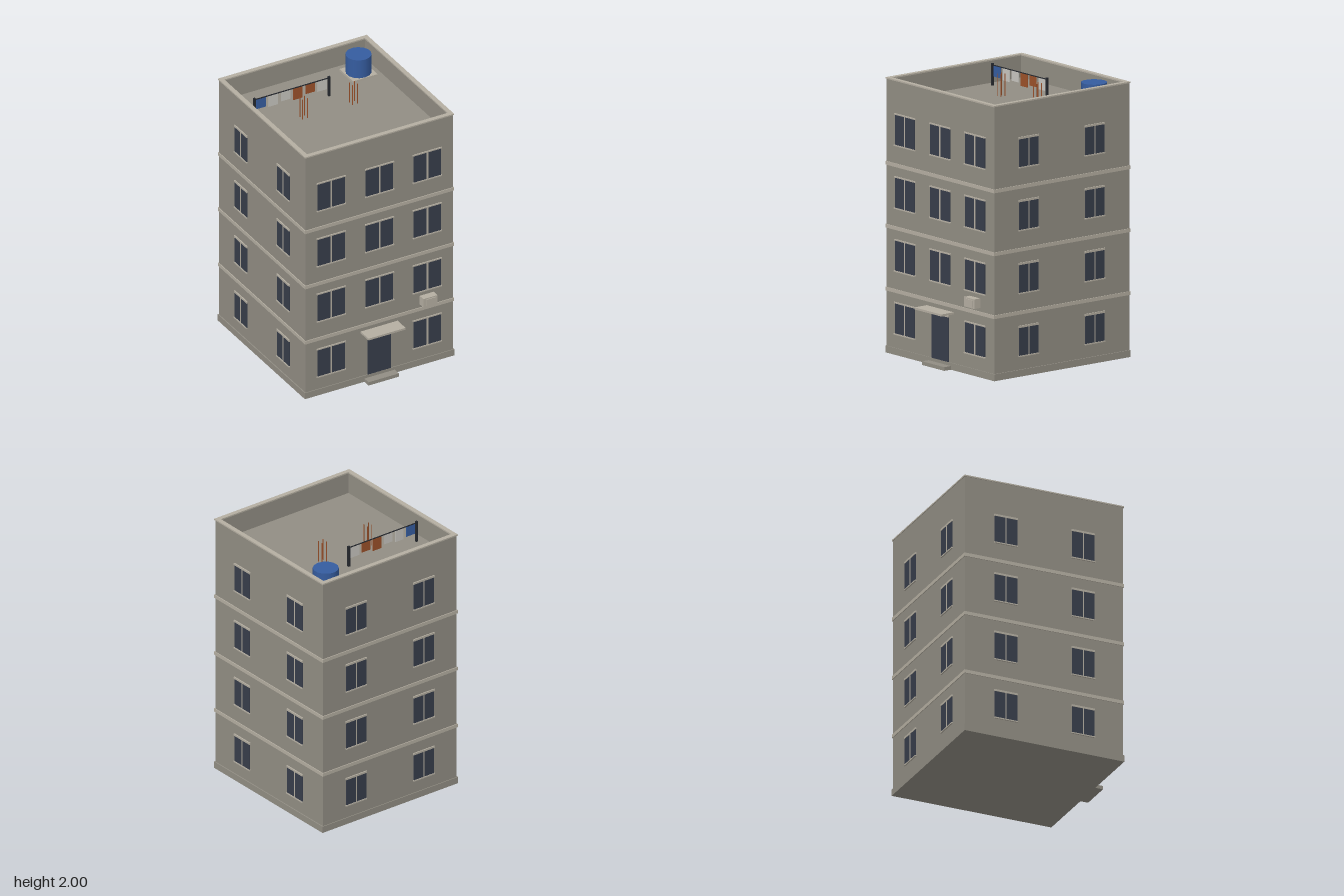
import * as THREE from 'three';

const mat = (name, color) => {
  const m = new THREE.MeshStandardMaterial({ color });
  m.name = name;
  return m;
};

export function createModel() {
  const wall = mat('wall concrete', 0x918d83);
  const trim = mat('pale trim', 0xb4aea1);
  const glass = mat('dark glass', 0x373d4a);
  const metal = mat('dark metal', 0x25282e);
  const blue = mat('blue plastic', 0x355c9f);
  const rust = mat('rust', 0x9a5029);
  const white = mat('white cloth', 0xc6c4be);

  const model = new THREE.Group();
  model.name = 'apartmentBlock';

  // Box given by its min and max corners
  const box = (name, m, [x0, y0, z0], [x1, y1, z1], parent = model) => {
    const mesh = new THREE.Mesh(new THREE.BoxGeometry(x1 - x0, y1 - y0, z1 - z0), m);
    mesh.position.set((x0 + x1) / 2, (y0 + y1) / 2, (z0 + z1) / 2);
    mesh.name = name;
    parent.add(mesh);
    return mesh;
  };

  const W = 0.602, FRONT = 0.566, BACK = -0.672;
  const STOREY = 0.457, ROOF = 1.83;

  // Rectangular ring lying flat between two heights
  const ring = (name, m, out, wide, y0, y1) => {
    const rect = (path, d) => {
      path.moveTo(-W - d, -FRONT - d);
      path.lineTo(W + d, -FRONT - d);
      path.lineTo(W + d, -BACK + d);
      path.lineTo(-W - d, -BACK + d);
      path.closePath();
      return path;
    };
    const shape = rect(new THREE.Shape(), out);
    shape.holes.push(rect(new THREE.Path(), out - wide));
    const geo = new THREE.ExtrudeGeometry(shape, { depth: y1 - y0, bevelEnabled: false });
    geo.rotateX(-Math.PI / 2);
    const mesh = new THREE.Mesh(geo, m);
    mesh.position.y = y0;
    mesh.name = name;
    model.add(mesh);
  };

  // Main volume, parapet and horizontal bands
  box('walls', wall, [-W, 0.03, BACK], [W, ROOF, FRONT]);
  box('plinth', wall, [-0.61, 0, -0.678], [0.61, 0.05, 0.572]);
  ring('parapet', wall, 0, 0.024, ROOF, 1.99);
  ring('coping', trim, 0.006, 0.034, 1.99, 2);
  for (let i = 1; i < 4; i++) {
    ring('floorBand', trim, 0.006, 0.02, i * STOREY - 0.006, i * STOREY + 0.02);
  }

  // Window facing +z with its base at the group origin
  const addWindow = (name, w, h, header, overhang, mullion, x, y, z, turn) => {
    const g = new THREE.Group();
    g.name = name;
    const a = w / 2, b = a + overhang;
    box('glass', glass, [-a, 0, -0.004], [a, h, 0.005], g);
    box('mullion', trim, [-mullion / 2, 0, 0], [mullion / 2, h, 0.007], g);
    box('lintel', trim, [-b, h, -0.004], [b, h + header, 0.008], g);
    box('sill', trim, [-b, -0.009, -0.004], [b, 0, 0.01], g);
    g.position.set(x, y, z);
    g.rotation.y = turn;
    model.add(g);
  };

  for (let f = 0; f < 4; f++) {
    const y = f * STOREY;
    for (const x of [-0.394, 0, 0.39]) {
      if (f === 0 && x === 0) continue; // doorway
      addWindow('frontWindow', 0.222, 0.218, 0.01, 0.007, 0.012, x, y + 0.156, FRONT, 0);
    }
    for (const s of [-1, 1]) {
      for (const z of [0.253, -0.353]) {
        addWindow('sideWindow', 0.176, 0.202, 0.015, 0.003, 0.008, s * W, y + 0.152, z, s * Math.PI / 2);
      }
      addWindow('backWindow', 0.18, 0.202, 0.015, 0.004, 0.008, s * 0.305, y + 0.152, BACK, Math.PI);
    }
  }

  // Entrance
  box('door', glass, [-0.096, 0.05, FRONT - 0.002], [0.094, 0.375, FRONT + 0.005]);
  box('doorLintel', trim, [-0.1, 0.375, FRONT - 0.004], [0.098, 0.386, FRONT + 0.01]);
  box('canopy', trim, [-0.152, 0.406, FRONT - 0.01], [0.15, 0.421, 0.68]);
  box('doorStep', wall, [-0.125, 0, FRONT - 0.01], [0.123, 0.027, 0.632]);

  // Air conditioner
  box('airConditioner', trim, [0.33, 0.503, FRONT - 0.004], [0.445, 0.573, 0.62]);
  box('airConditionerGrille', trim, [0.352, 0.512, 0.618], [0.43, 0.564, 0.626]);

  // Water tank on its slab
  box('tankSlab', trim, [0.332, ROOF - 0.005, -0.586], [0.532, 1.847, -0.39]);
  const tank = new THREE.Mesh(new THREE.CylinderGeometry(0.093, 0.093, 0.147, 14), blue);
  tank.position.set(0.432, 1.9205, -0.488);
  tank.name = 'waterTank';
  model.add(tank);

  // Clothesline with hanging laundry
  const lineZ = -0.328;
  for (const x of [-0.51, 0.1]) {
    box('linePost', metal, [x - 0.008, ROOF - 0.005, lineZ - 0.008], [x + 0.008, 1.99, lineZ + 0.008]);
  }
  box('clothesline', metal, [-0.51, 1.975, lineZ - 0.003], [0.1, 1.981, lineZ + 0.003]);
  const laundry = [[blue, 0.08], [white, 0.09], [white, 0.075], [rust, 0.095], [rust, 0.075], [white, 0.085]];
  laundry.forEach(([m, h], i) => {
    const x = -0.455 + i * 0.1;
    box('laundry', m, [x - 0.038, 1.976 - h, lineZ - 0.002], [x + 0.038, 1.976, lineZ + 0.002]);
  });

  // Exposed column bars
  for (const cx of [-0.204, 0.203]) {
    for (const dx of [-0.02, 0.02]) {
      for (const dz of [-0.02, 0.02]) {
        const bar = new THREE.Mesh(new THREE.CylinderGeometry(0.0035, 0.0035, 0.165, 6), rust);
        bar.position.set(cx + dx, ROOF + 0.08, -0.158 + dz);
        bar.name = 'columnBar';
        model.add(bar);
      }
    }
  }

  return model;
}
